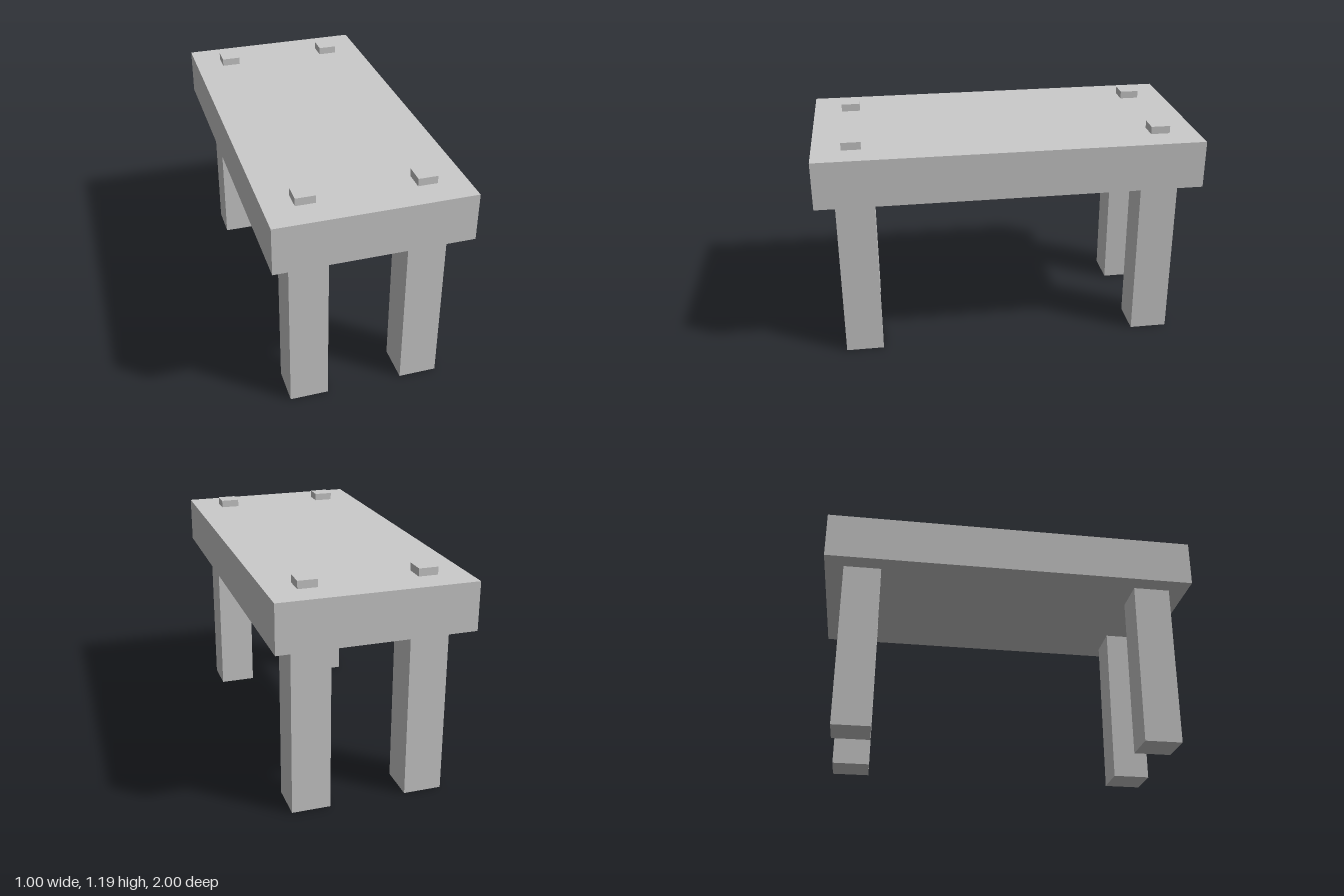
import * as THREE from 'three';

export function createModel() {
  const model = new THREE.Group();
  model.name = 'table';
  const material = new THREE.MeshStandardMaterial({ color: 0xcccccc, flatShading: true });

  // Box standing on height y
  const addBox = (name, [w, h, d], [x, y, z]) => {
    const mesh = new THREE.Mesh(new THREE.BoxGeometry(w, h, d), material);
    mesh.name = name;
    mesh.position.set(x, y + h / 2, z);
    model.add(mesh);
  };

  // Thick slab top
  addBox('tableTop', [1, 0.25, 2], [0, 0.9, 0]);

  // Square leg at each corner, with a peg end standing proud of the top above it
  for (const [sx, side] of [[1, 'Left'], [-1, 'Right']]) {
    for (const [sz, end] of [[1, 'front'], [-1, 'back']]) {
      addBox(`${end}${side}Leg`, [0.2, 0.9, 0.2], [sx * 0.3, 0, sz * 0.8]);
      addBox(`${end}${side}Peg`, [0.1, 0.04, 0.1], [sx * 0.3, 1.15, sz * 0.8]);
    }
  }
  return model;
}
